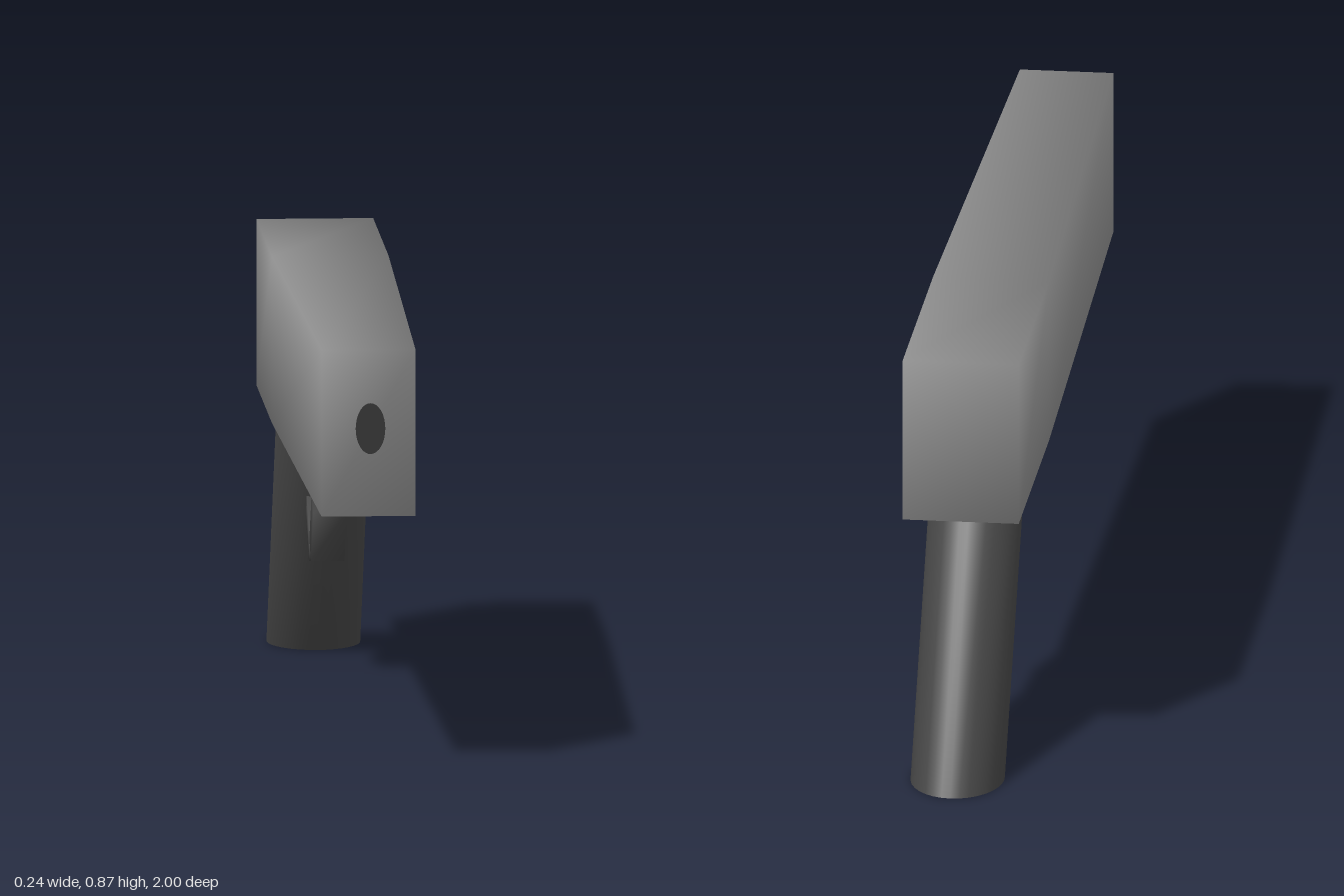
import * as THREE from 'three';
import { mergeVertices } from 'three/addons/utils/BufferGeometryUtils.js';

const bodyGrey = new THREE.MeshStandardMaterial({ color: 0x949494 });
const gripGrey = new THREE.MeshStandardMaterial({ color: 0x464646 });
const boreDark = new THREE.MeshStandardMaterial({ color: 0x333333 });

// Share corners so the shading rolls softly over the edges
function soften(geometry) {
  geometry.deleteAttribute('normal');
  geometry.deleteAttribute('uv');
  const merged = mergeVertices(geometry, 1e-4);
  merged.computeVertexNormals();
  return merged;
}

// Apply a rule to every vertex
function reshape(geometry, rule) {
  const p = geometry.attributes.position;
  const v = new THREE.Vector3();
  for (let i = 0; i < p.count; i++) {
    v.fromBufferAttribute(p, i);
    rule(v);
    p.setXYZ(i, v.x, v.y, v.z);
  }
  return soften(geometry);
}

export function createModel() {
  const model = new THREE.Group();
  const add = (name, geometry, material) => {
    const mesh = new THREE.Mesh(geometry, material);
    mesh.name = name;
    model.add(mesh);
    return mesh;
  };

  // Long body: parallel at the rear, tapering towards the muzzle
  const stations = [[-0.82, 0.118], [-0.3, 0.118], [1, 0.095]];
  add('body', reshape(new THREE.BoxGeometry(2, 0.34, 2, 1, 1, 2), (v) => {
    const [z, halfWidth] = stations[Math.round(v.z + 1)];
    v.set(v.x * halfWidth, v.y + 0.7, z);
  }), bodyGrey);

  // Shallow sloped ledge between body and grip
  add('gripLedge', reshape(new THREE.BoxGeometry(2, 2, 2), (v) => {
    const low = v.y < 0;
    v.set(v.x * (low ? 0.095 : 0.118), low ? 0.514 : 0.532,
      v.z > 0 ? -0.36 : low ? -0.66 : -0.82);
  }), bodyGrey);

  // Oval grip, sheared backwards with level ends
  add('grip', reshape(new THREE.CylinderGeometry(1, 1, 0.53, 32), (v) => {
    v.y += 0.265;
    v.set(v.x * 0.095, v.y, v.z * 0.128 - 0.872 + v.y * 0.65);
  }), gripGrey);

  // Trigger guard bars, each from one [z, y] point to another
  const bars = [
    ['guardUpper', [-0.329, 0.401], [-0.46, 0.5], 0.068],
    ['guardFront', [-0.33, 0.364], [-0.41, 0.254], 0.065],
    ['guardLower', [-0.437, 0.247], [-0.58, 0.352], 0.055],
  ];
  for (const [name, [z0, y0], [z1, y1], thickness] of bars) {
    const length = Math.hypot(z1 - z0, y1 - y0);
    const bar = add(name, soften(new THREE.BoxGeometry(0.068, thickness, length)), gripGrey);
    bar.position.set(0, (y0 + y1) / 2, (z0 + z1) / 2);
    bar.rotation.x = -Math.atan2(y1 - y0, z1 - z0);
  }

  // Muzzle opening, a thin oval on the front face
  const muzzle = add('muzzle', new THREE.CircleGeometry(1, 32), boreDark);
  muzzle.scale.set(0.03, 0.052, 1);
  muzzle.position.set(0.004, 0.709, 1.001);

  return model;
}
